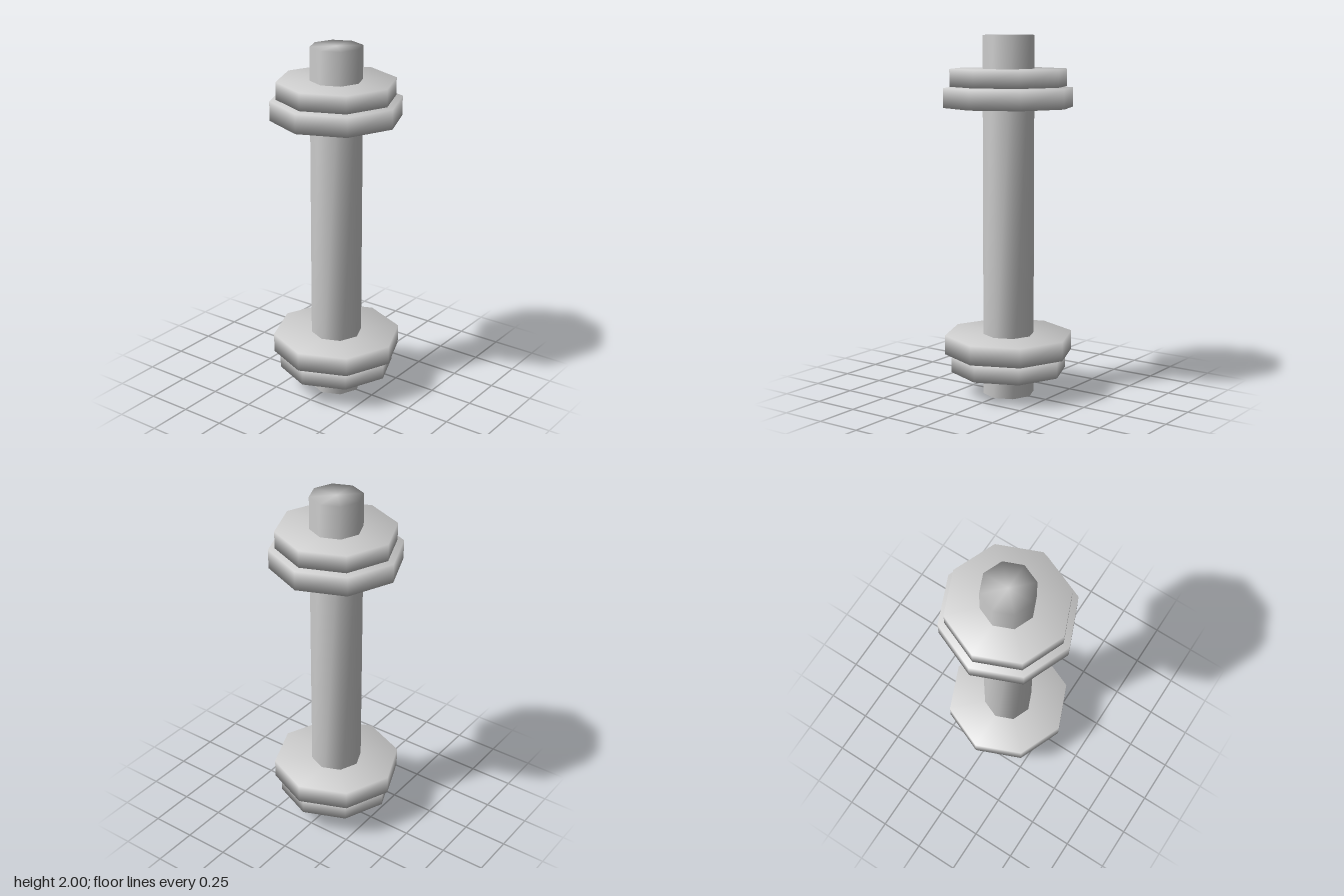
import * as THREE from 'three';
import { mergeVertices } from 'three/addons/utils/BufferGeometryUtils.js';

const SIDES = 8;

// Octagonal prism between two heights, with normals smoothed over every edge
function smoothPrism(radius, y0, y1) {
  const geometry = new THREE.CylinderGeometry(radius, radius, y1 - y0, SIDES);
  geometry.translate(0, (y0 + y1) / 2, 0);
  geometry.deleteAttribute('normal');
  geometry.deleteAttribute('uv');
  const merged = mergeVertices(geometry, 1e-4);
  merged.computeVertexNormals();
  return merged;
}

export function createModel() {
  const group = new THREE.Group();
  group.name = 'dumbbell';
  const metal = new THREE.MeshStandardMaterial({ color: 0xcccccc });
  metal.name = 'light grey';

  const add = (name, radius, y0, y1) => {
    const mesh = new THREE.Mesh(smoothPrism(radius, y0, y1), metal);
    mesh.name = name;
    group.add(mesh);
  };

  // Bar running the full height
  add('bar', 0.143, 0, 2);

  // Weight plates: a large inner and a smaller outer one at each end
  add('lowerOuterPlate', 0.325, 0.132, 0.228);
  add('lowerInnerPlate', 0.36, 0.236, 0.343);
  add('upperInnerPlate', 0.36, 1.608, 1.715);
  add('upperOuterPlate', 0.325, 1.722, 1.818);

  return group;
}
